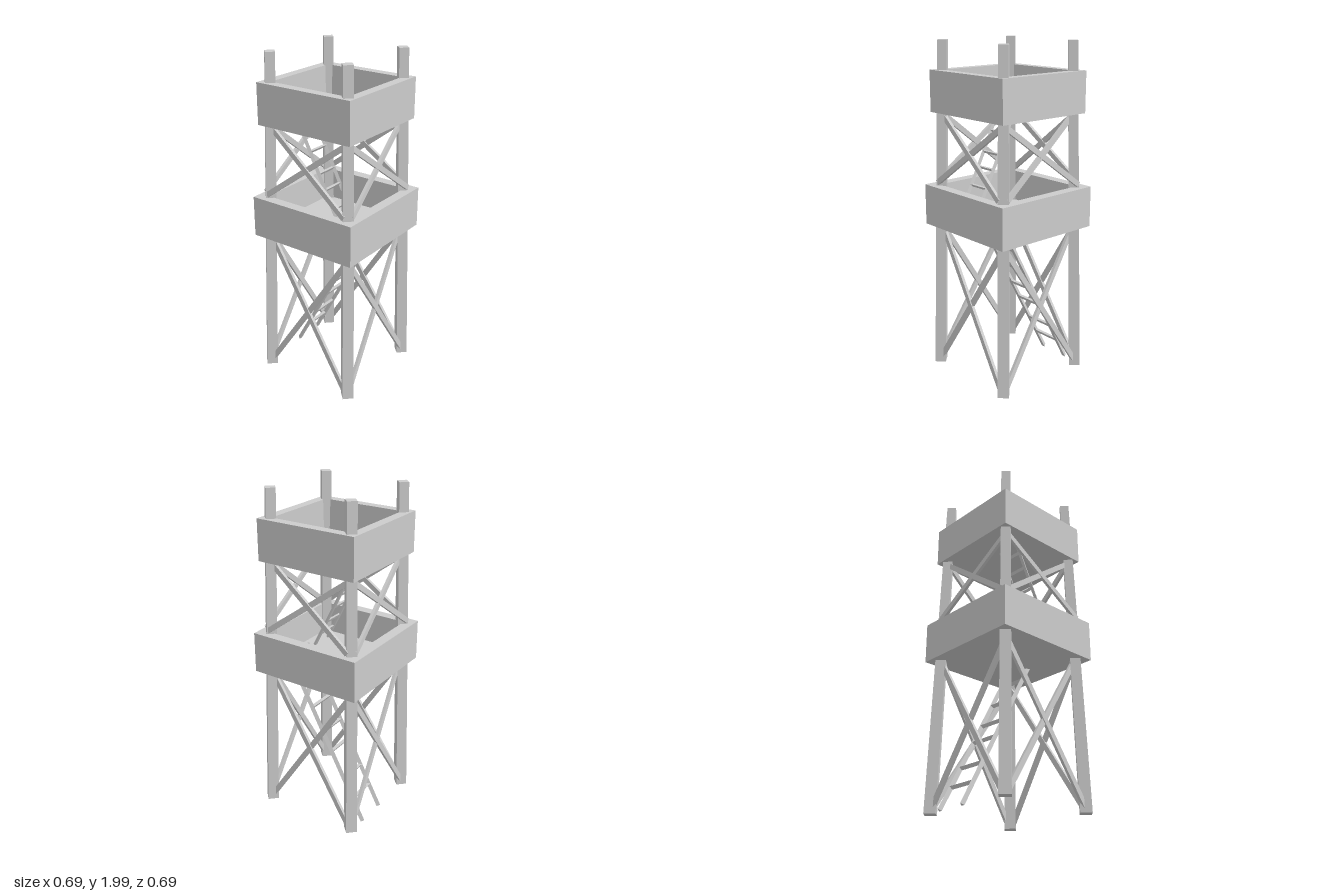
import * as THREE from 'three';

const material = new THREE.MeshStandardMaterial({ color: 0xcccccc, flatShading: true });
const V = (x, y, z) => new THREE.Vector3(x, y, z);

function addMesh(parent, name, geometry) {
  const mesh = new THREE.Mesh(geometry, material);
  mesh.name = name;
  parent.add(mesh);
  return mesh;
}

// Places a geometry made along y between a and b, its local +z turned towards facing
function addBeam(parent, name, geometry, a, b, facing) {
  const mesh = addMesh(parent, name, geometry);
  const y = b.clone().sub(a).normalize();
  const x = y.clone().cross(facing).normalize();
  const z = x.clone().cross(y);
  mesh.quaternion.setFromRotationMatrix(new THREE.Matrix4().makeBasis(x, y, z));
  mesh.position.copy(a).add(b).multiplyScalar(0.5);
  return mesh;
}

// Walled platform: square ring of walls around a thick floor
function addPlatform(parent, name, half, inner, y0, y1) {
  const platform = new THREE.Group();
  platform.name = name;
  const square = (Type, h) => new Type([[-h, -h], [h, -h], [h, h], [-h, h]]
    .map(([x, y]) => new THREE.Vector2(x, y)));
  const ring = square(THREE.Shape, half);
  ring.holes.push(square(THREE.Path, inner));
  const walls = new THREE.ExtrudeGeometry(ring, { depth: y1 - y0, bevelEnabled: false });
  walls.rotateX(-Math.PI / 2);
  addMesh(platform, 'walls', walls).position.y = y0;
  const thick = 0.055;
  addMesh(platform, 'floor', new THREE.BoxGeometry(inner * 2, thick, inner * 2))
    .position.y = y0 + thick / 2;
  parent.add(platform);
}

// Crossed braces on all four sides, running from leg to leg
function addBraces(parent, name, low, high) {
  for (let side = 0; side < 4; side++) {
    const pair = new THREE.Group();
    pair.name = name;
    pair.rotation.y = side * Math.PI / 2;
    for (const s of [-1, 1]) {
      const a = V(s * low.x, low.y, low.z + s * 0.003);
      const b = V(-s * high.x, high.y, high.z + s * 0.003);
      addBeam(pair, 'brace', new THREE.BoxGeometry(0.031, a.distanceTo(b), 0.018), a, b, V(0, 0, 1));
    }
    parent.add(pair);
  }
}

// Leaning ladder with three-sided rails and rungs
function addLadder(parent, name, xs, bottom, top, radius, rungHeights) {
  const ladder = new THREE.Group();
  ladder.name = name;
  const rise = top.y - bottom.y, run = top.z - bottom.z;
  const facing = V(0, Math.abs(run), -Math.sign(run) * rise).normalize();
  const bar = (part, a, b, r) => addBeam(ladder, part,
    new THREE.CylinderGeometry(r, r, a.distanceTo(b), 3), a, b, facing);
  for (const x of xs) bar('rail', V(x, bottom.y, bottom.z), V(x, top.y, top.z), radius);
  for (const y of rungHeights) {
    const z = bottom.z + run * (y - bottom.y) / rise;
    bar('rung', V(xs[0], y, z), V(xs[1], y, z), radius * 0.9);
  }
  parent.add(ladder);
}

export function createModel() {
  const tower = new THREE.Group();
  tower.name = 'watchtower';

  // Tapered square legs, turned corner-out and leaning inwards
  for (const sx of [-1, 1]) for (const sz of [-1, 1]) {
    const leg = new THREE.CylinderGeometry(0.039, 0.047, 1.994, 4);
    const p = leg.attributes.position;
    for (let i = 0; i < p.count; i++) {
      const y = p.getY(i) + 1.003;
      const c = 0.299 - 0.02 * y;
      p.setXYZ(i, p.getX(i) + sx * c, y, p.getZ(i) + sz * c);
    }
    leg.computeVertexNormals();
    addMesh(tower, 'leg', leg);
  }

  addPlatform(tower, 'lowerPlatform', 0.347, 0.285, 0.913, 1.157);
  addPlatform(tower, 'upperPlatform', 0.315, 0.258, 1.59, 1.832);

  addBraces(tower, 'lowerBraces', V(0.285, 0.035, 0.305), V(0.268, 0.885, 0.272));
  addBraces(tower, 'upperBraces', V(0.275, 1.175, 0.308), V(0.262, 1.575, 0.262));

  addLadder(tower, 'lowerLadder', [0.007, 0.193], V(0, 0.01, -0.318), V(0, 1.0, 0.217), 0.0145,
    [0.145, 0.265, 0.43, 0.545, 0.69, 0.83]);
  addLadder(tower, 'upperLadder', [-0.195, -0.057], V(0, 0.96, 0.21), V(0, 1.67, -0.15), 0.0115,
    [1.057, 1.145, 1.25, 1.337, 1.456, 1.541]);

  return tower;
}
